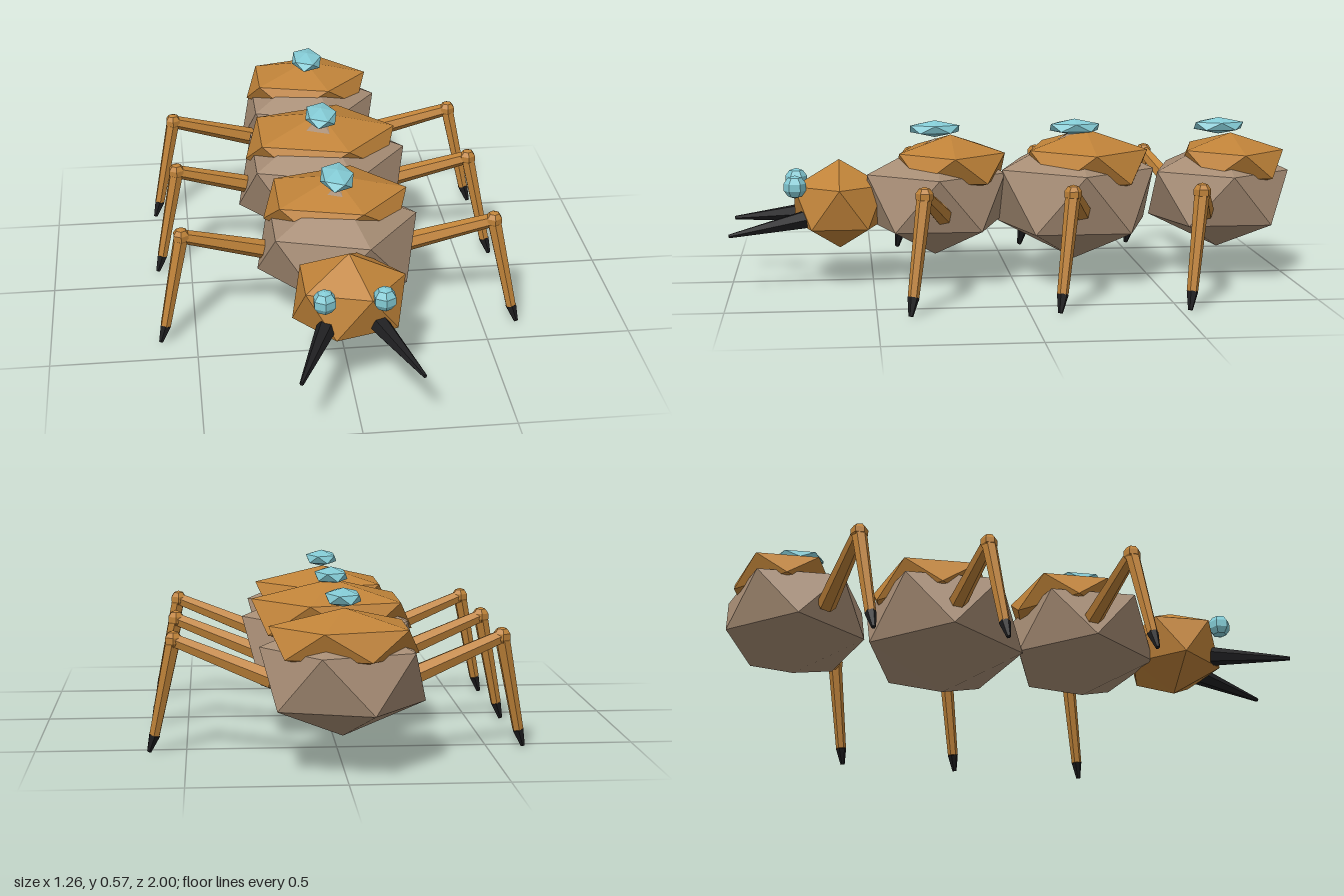
import * as THREE from 'three';

const flat = (name, color) => {
  const m = new THREE.MeshStandardMaterial({ color, flatShading: true });
  m.name = name;
  return m;
};

export function createModel() {
  const amber = flat('amber shell', 0xc08339);
  const taupe = flat('taupe body', 0xa68c74);
  const black = flat('black claw', 0x1e1e20);
  const cyan = flat('cyan crystal', 0x84cbd5);

  const model = new THREE.Group();
  model.name = 'segmentedInsect';

  function add(parent, name, geometry, material) {
    const mesh = new THREE.Mesh(geometry, material);
    mesh.name = name;
    parent.add(mesh);
    return mesh;
  }

  // Faceted ellipsoid: a 20-sided solid standing on one corner
  function facet(parent, name, material, radii, centre) {
    const g = new THREE.IcosahedronGeometry(1, 0);
    g.rotateZ(-Math.atan(2 / (1 + Math.sqrt(5))));
    g.scale(...radii);
    return add(parent, name, g, material).position.set(...centre);
  }

  // Tapered six-sided rod between two points
  function rod(parent, name, material, from, to, r0, r1) {
    const a = new THREE.Vector3(...from);
    const b = new THREE.Vector3(...to);
    const dir = b.clone().sub(a);
    const mesh = add(parent, name, new THREE.CylinderGeometry(r1, r0, dir.length(), 6), material);
    mesh.position.copy(a).add(b).multiplyScalar(0.5);
    mesh.quaternion.setFromUnitVectors(new THREE.Vector3(0, 1, 0), dir.normalize());
  }

  // Small ball with six sides, corners towards front and back
  function ball(parent, name, material, r, centre) {
    const g = new THREE.SphereGeometry(r, 6, 5);
    g.rotateY(Math.PI / 2);
    add(parent, name, g, material).position.set(...centre);
  }

  // Body segments, each with a back plate, a crystal and a pair of legs
  const segments = [
    { name: 'front', z: 0.275, body: [0.31, 0.21, 0.288], plate: [0.279, 0.105, 0.221], plateZ: 0.218, knee: 0.34 },
    { name: 'middle', z: -0.23, body: [0.345, 0.235, 0.32], plate: [0.31, 0.12, 0.248], plateZ: -0.27, knee: -0.15 },
    { name: 'rear', z: -0.759, body: [0.296, 0.2, 0.282], plate: [0.265, 0.1, 0.208], plateZ: -0.805, knee: -0.583 },
  ];
  for (const s of segments) {
    const segment = new THREE.Group();
    segment.name = s.name + 'Segment';
    model.add(segment);
    facet(segment, 'body', taupe, s.body, [0, 0.3, s.z]);
    facet(segment, 'backPlate', amber, s.plate, [0, 0.418, s.plateZ]);
    facet(segment, 'crystal', cyan, [0.064, 0.03, 0.103], [0, 0.545, s.z]);

    for (const side of [1, -1]) {
      const leg = new THREE.Group();
      leg.name = s.name + (side > 0 ? 'LeftLeg' : 'RightLeg');
      segment.add(leg);
      const hip = [side * 0.22, 0.266, s.knee - 0.08];
      const knee = [side * 0.537, 0.385, s.knee];
      const ankle = [side * 0.604, 0.063, s.knee + 0.042];
      const tip = [side * 0.623, 0.004, s.knee + 0.052];
      rod(leg, 'upperLeg', amber, hip, knee, 0.034, 0.024);
      ball(leg, 'knee', amber, 0.031, knee);
      rod(leg, 'lowerLeg', amber, knee, ankle, 0.026, 0.019);
      rod(leg, 'claw', black, ankle, tip, 0.02, 0.008);
    }
  }

  // Head with eyes and mandibles
  const head = new THREE.Group();
  head.name = 'head';
  model.add(head);
  facet(head, 'skull', amber, [0.21, 0.16, 0.188], [0, 0.28, 0.617]);
  for (const side of [1, -1]) {
    ball(head, side > 0 ? 'leftEye' : 'rightEye', cyan, 0.041, [side * 0.097, 0.356, 0.772]);
    rod(head, side > 0 ? 'leftMandible' : 'rightMandible', black,
      [side * 0.088, 0.238, 0.74], [side * 0.194, 0.202, 0.998], 0.034, 0.007);
  }

  return model;
}
